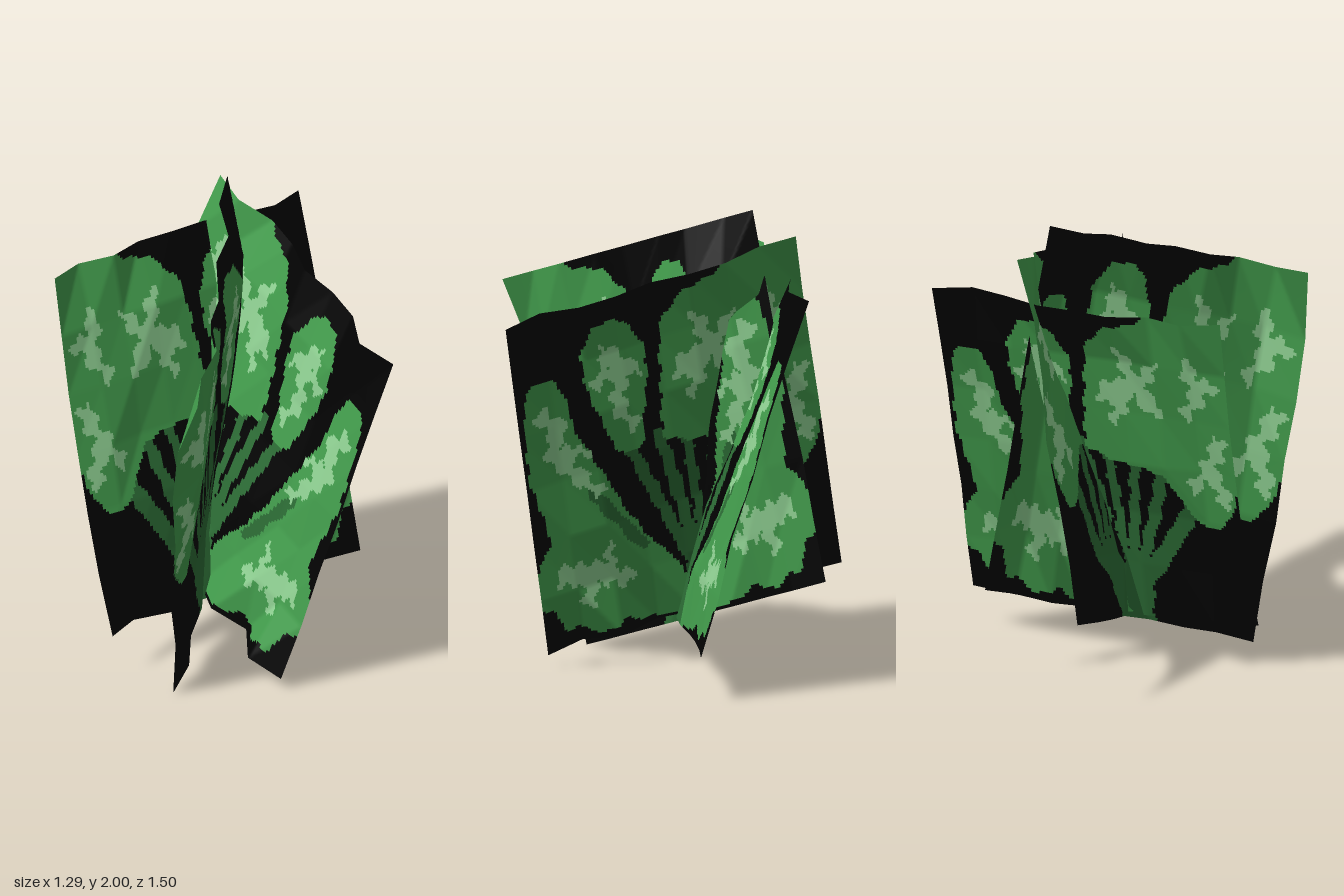
import * as THREE from 'three';

const flat = (name, color) => {
  const m = new THREE.MeshStandardMaterial({ color, side: THREE.DoubleSide });
  m.name = name;
  return m;
};
const materials = [
  flat('black', 0x020202), flat('leafGreen', 0x429c4c),
  flat('paleGreen', 0x8fd092), flat('stemGreen', 0x2c6c35),
];

// Leaf outlines in card space: u across, v up, both 0 to 1
const leaves = [
  [[.09, .815], [.05, .8], [.025, .73], [.015, .6], [.01, .53], [.04, .42], [.06, .33], [0, .25], [0, .14], [.05, .11], [.07, .05], [.14, .04],
    [.2, .015], [.27, .04], [.35, .015], [.5, 0], [.5, .1], [.45, .18], [.37, .27], [.31, .38], [.24, .53], [.185, .63], [.17, .74], [.14, .8]],
  [[.34, .935], [.28, .92], [.235, .85], [.24, .75], [.28, .63], [.31, .55], [.36, .515], [.41, .54], [.42, .62], [.45, .74], [.45, .82], [.4, .91]],
  [[.5, .79], [.52, .89], [.6, .95], [.7, .98], [.76, 1.01], [1.01, 1.01], [1.01, .47], [.97, .37], [.91, .31], [.84, .33], [.79, .4],
    [.74, .47], [.66, .49], [.57, .5], [.47, .54], [.485, .68]],
];
// Stems fanning up from the base: start, end, half width
const base = [[.47, 0], [.65, 0], [.66, .1], [.64, .2], [.5, .2]];
const stems = [
  [.55, .06, .35, .56, .02], [.56, .06, .46, .55, .02], [.57, .06, .55, .52, .017],
  [.58, .06, .64, .5, .018], [.59, .06, .74, .49, .021], [.6, .06, .85, .4, .028],
  [.36, .24, .22, .43, .018],
];
// Branching pale patches on the leaves
const patches = [
  [.08, .7, .14, .65, .026], [.13, .66, .1, .58, .025], [.11, .58, .18, .5, .026], [.17, .5, .24, .44, .016], [.15, .59, .21, .56, .015],
  [.09, .22, .2, .2, .03], [.2, .19, .29, .16, .026], [.18, .2, .16, .13, .023], [.24, .2, .25, .26, .014],
  [.32, .83, .37, .78, .026], [.35, .8, .28, .75, .02], [.36, .78, .34, .67, .025], [.34, .67, .38, .6, .018], [.37, .78, .42, .76, .016],
  [.57, .72, .68, .77, .03], [.67, .76, .63, .86, .021], [.66, .76, .73, .69, .03], [.64, .74, .59, .65, .022], [.7, .77, .74, .83, .018],
  [.87, .85, .9, .75, .026], [.9, .77, .85, .69, .021], [.88, .8, .95, .79, .02],
  [.95, .6, .9, .51, .026], [.91, .52, .95, .42, .026], [.9, .5, .84, .44, .018],
];

function inside(poly, u, v) {
  let hit = false;
  poly.forEach(([x, y], i) => {
    const [a, b] = poly[(i + poly.length - 1) % poly.length];
    if ((y > v) !== (b > v) && u < (a - x) * (v - y) / (b - y) + x) hit = !hit;
  });
  return hit;
}
function onStroke([a, b, c, d, w], u, v) {
  const dx = c - a, dy = d - b;
  const t = Math.min(1, Math.max(0, ((u - a) * dx + (v - b) * dy) / (dx * dx + dy * dy)));
  return Math.hypot(u - a - dx * t, v - b - dy * t) < w;
}
// Index of the colour at one point of a card, with slightly ragged outlines
function paint(u, v) {
  const p = u + 0.004 * Math.sin(v * 75), q = v + 0.004 * Math.sin(u * 80 + 1);
  const r = u + 0.012 * Math.sin(v * 110), s = v + 0.011 * Math.sin(u * 120);
  if (patches.some((k) => onStroke(k, r, s))) return 2;
  if (onStroke(stems[6], p, q)) return 3;
  if (leaves.some((k) => inside(k, p, q))) return 1;
  if (inside(base, p, q) || stems.some((k) => onStroke(k, p, q))) return 3;
  return 0;
}

const hash = (n) => {
  const s = Math.sin(n * 127.1) * 43758.5453;
  return s - Math.floor(s);
};
const NU = 104, NV = 120, COLS = 8, ROWS = 6;

// One crumpled card: four corners, crumple direction, offsets of its lower edge, middle and upper edge
function card(name, { bottom, top, dir, low, mid, high, seed }) {
  const [b0, b1, t0, t1] = [...bottom, ...top].map((c) => new THREE.Vector3(...c));
  const push = new THREE.Vector3(...dir).normalize();
  const knot = (i, j) => {
    if (j === 0) return low[i];
    if (j === ROWS) return high[i];
    return mid[i] * Math.min(1, j / 4) + (hash(seed + i * 7 + j * 31) - 0.5) * 0.03;
  };
  const crumple = (u, v) => {
    const x = u * COLS, y = v * ROWS;
    const i = Math.min(COLS - 1, Math.floor(x)), j = Math.min(ROWS - 1, Math.floor(y));
    const f = x - i, g = y - j;
    const a = knot(i, j), b = knot(i + 1, j), c = knot(i, j + 1), d = knot(i + 1, j + 1);
    return f + g < 1 ? a + (b - a) * f + (c - a) * g : d + (c - d) * (1 - f) + (b - d) * (1 - g);
  };
  const positions = [], faces = [[], [], [], []];
  for (let j = 0; j <= NV; j++) {
    for (let i = 0; i <= NU; i++) {
      const u = i / NU, v = j / NV;
      const p = b0.clone().lerp(b1, u).lerp(t0.clone().lerp(t1, u), v);
      p.addScaledVector(push, crumple(u, v));
      positions.push(p.x, p.y, p.z);
      if (i < NU && j < NV) {
        const a = j * (NU + 1) + i, c = a + NU + 1;
        faces[paint((i + 0.5) / NU, (j + 0.5) / NV)].push(a, c, a + 1, a + 1, c, c + 1);
      }
    }
  }
  const geo = new THREE.BufferGeometry();
  geo.setAttribute('position', new THREE.Float32BufferAttribute(positions, 3));
  geo.setIndex(faces.flat());
  let start = 0;
  faces.forEach((f, k) => {
    geo.addGroup(start, f.length, k);
    start += f.length;
  });
  geo.computeVertexNormals();
  const mesh = new THREE.Mesh(geo, materials);
  mesh.name = name;
  return mesh;
}

export function createModel() {
  const group = new THREE.Group();
  group.name = 'leafyBush';
  group.add(
    // card across the width, leaning back
    card('crossLeafCard', {
      bottom: [[.65, .19, -.02], [-.63, .19, -.02]], top: [[.65, 1.71, -.45], [-.63, 1.71, -.45]],
      dir: [0, .1, 1], seed: 3,
      low: [0, -.02, -.03, -.03, -.02, -.03, -.01, -.05, .03],
      mid: [0, 0, 0, 0, 0, 0, 0, 0, 0],
      high: [-.03, .03, 0, -.04, -.04, -.05, 0, -.03, .03],
    }),
    // card running front to back
    card('lengthLeafCard', {
      bottom: [[-.11, .05, .5], [-.12, .4, -.75]], top: [[.29, 1.55, .75], [.24, 1.9, -.49]],
      dir: [1, -.1, 0], seed: 11,
      low: [0, -.06, .04, -.03, .02, -.03, -.04, -.03, 0],
      mid: [0, 0, 0, 0, 0, 0, 0, 0, 0],
      high: [0, -.06, .02, .03, 0, .05, .06, 0, .02],
    }),
    // diagonal card
    card('diagonalLeafCard', {
      bottom: [[.36, .43, -.6], [-.5, 0, .27]], top: [[.18, 2, -.32], [-.61, 1.56, .61]],
      dir: [.7, 0, .7], seed: 20,
      low: [0, .03, 0, .04, .01, .04, .02, .04, 0],
      mid: [0, .09, .1, .07, .04, .03, .03, .02, -.07],
      high: [0, -.02, .04, 0, .04, .01, .05, 0, 0],
    }),
  );
  return group;
}
